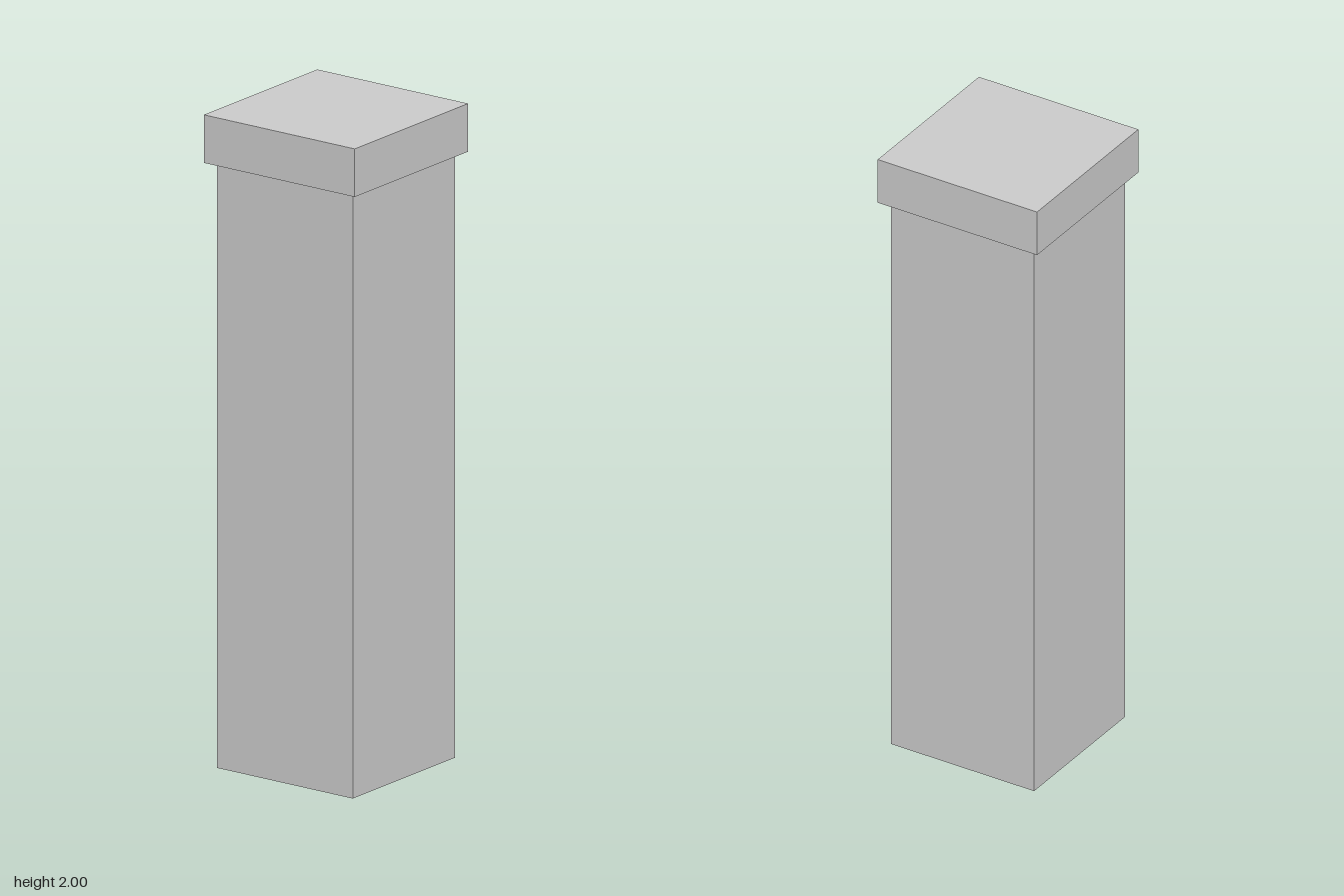
import * as THREE from 'three';

export function createModel() {
  const group = new THREE.Group();
  group.name = 'pillar';
  const material = new THREE.MeshStandardMaterial({ color: 0xcccccc, flatShading: true });

  // Square block standing on the given height
  function addBlock(name, width, bottom, top) {
    const mesh = new THREE.Mesh(new THREE.BoxGeometry(width, top - bottom, width), material);
    mesh.position.y = (bottom + top) / 2;
    mesh.name = name;
    group.add(mesh);
  }

  addBlock('shaft', 0.495, 0, 1.853);
  addBlock('cap', 0.551, 1.853, 2);

  return group;
}
